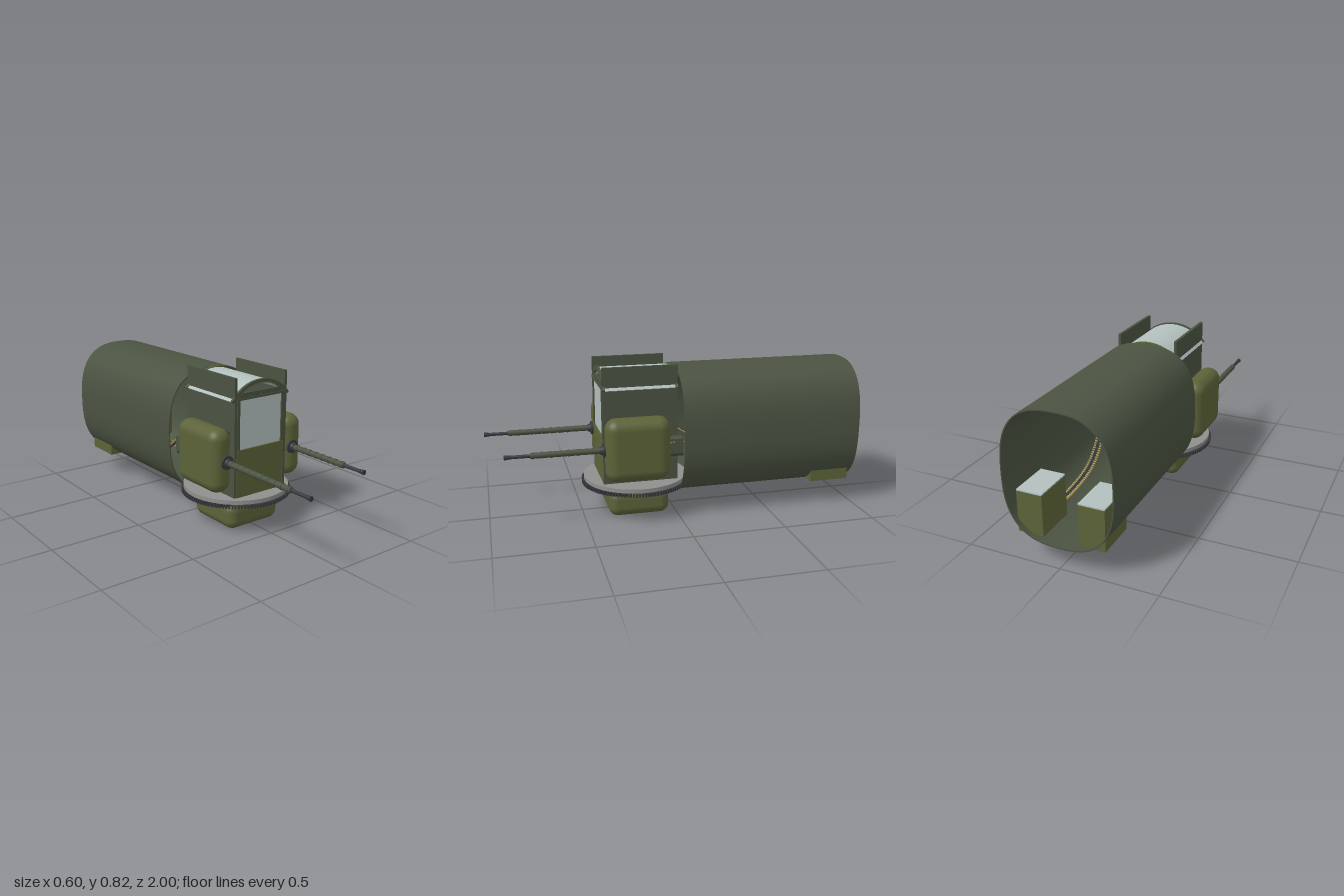
import * as THREE from 'three';
import { toCreasedNormals } from 'three/addons/utils/BufferGeometryUtils.js';
import { RoundedBoxGeometry } from 'three/addons/geometries/RoundedBoxGeometry.js';

const mat = (name, color) => {
  const m = new THREE.MeshStandardMaterial({ color });
  m.name = name;
  return m;
};

export function createModel() {
  const olive = mat('olive', 0x5c6238);
  const green = mat('dark green', 0x4b5342);
  const glass = mat('glass', 0xb2c0be);
  const grey = mat('platform grey', 0x8f8f8d);
  const dark = mat('gunmetal', 0x38393e);
  const brass = mat('brass', 0x9a8a4a);

  const model = new THREE.Group();
  const add = (name, geo, material, x = 0, y = 0, z = 0, parent = model) => {
    const m = new THREE.Mesh(geo, material);
    m.name = name;
    m.position.set(x, y, z);
    parent.add(m);
    return m;
  };
  // Box given by its extents on each axis
  const box = (name, material, x0, x1, y0, y1, z0, z1) =>
    add(name, new THREE.BoxGeometry(x1 - x0, y1 - y0, z1 - z0), material, (x0 + x1) / 2, (y0 + y1) / 2, (z0 + z1) / 2);
  const extrude = (shape, depth, segs = 24) =>
    toCreasedNormals(new THREE.ExtrudeGeometry(shape, { depth, bevelEnabled: false, curveSegments: segs }), 0.6);

  // Fuselage section: hollow superellipse tube
  const oval = (a, b) => {
    const pts = [];
    const f = (v) => Math.sign(v) * Math.pow(Math.abs(v), 2 / 2.65);
    for (let i = 0; i < 96; i++) {
      const t = (i / 96) * Math.PI * 2;
      pts.push(new THREE.Vector2(a * f(Math.cos(t)), b * f(Math.sin(t))));
    }
    return pts;
  };
  const skin = new THREE.Shape(oval(0.287, 0.343));
  skin.holes.push(new THREE.Path(oval(0.281, 0.337)));
  add('fuselageTube', extrude(skin, 0.99), green, 0, 0.452, -1);

  // Rotating platform with a ring of gear teeth
  add('platformDisc', new THREE.CylinderGeometry(0.283, 0.283, 0.022, 64), grey, 0, 0.186, 0.2);
  const teeth = 112;
  const toothGeo = new THREE.BoxGeometry(0.009, 0.02, 0.03);
  const gear = new THREE.Group();
  gear.name = 'gearRing';
  gear.position.set(0, 0.165, 0.2);
  model.add(gear);
  for (let i = 0; i < teeth; i++) {
    const a = (i / teeth) * Math.PI * 2;
    add('gearTooth', toothGeo, dark, Math.sin(a) * 0.28, 0, Math.cos(a) * 0.28, gear).rotation.y = a;
  }

  // Lower pod and its mounting plate
  box('mountingPlate', dark, -0.162, 0.162, 0.143, 0.155, 0.05, 0.36);
  box('mountingBlock', dark, -0.13, 0.13, 0.153, 0.177, 0.08, 0.33);
  add('lowerPod', new RoundedBoxGeometry(0.336, 0.147, 0.33, 6, 0.05), olive, 0, 0.0735, 0.205);

  // Cabin front: lower panel, window and frame
  box('frontPanel', olive, -0.152, 0.152, 0.197, 0.45, 0.385, 0.4);
  box('frontWindow', glass, -0.138, 0.138, 0.45, 0.709, 0.388, 0.394);
  box('windowHead', green, -0.152, 0.152, 0.709, 0.72, 0.383, 0.402);
  box('windowSill', olive, -0.152, 0.152, 0.446, 0.452, 0.383, 0.403);
  for (const s of [-1, 1]) {
    box('windowPost', green, s * 0.145 - 0.008, s * 0.145 + 0.008, 0.45, 0.72, 0.383, 0.402);
    box('rearPost', green, s * 0.145 - 0.01, s * 0.145 + 0.01, 0.197, 0.745, 0, 0.015);
    box('lintel', green, s * 0.077 - 0.074, s * 0.077 + 0.074, 0.72, 0.744, 0.386, 0.398);
  }
  box('rearLintel', green, -0.155, 0.155, 0.72, 0.744, 0, 0.012);

  // Curved glass roof running through the side plates, with end arches
  const arc = (r0, r1, depth) => {
    const h = 0.905, s = new THREE.Shape();
    s.absarc(0, 0, r1, Math.PI / 2 - h, Math.PI / 2 + h, false);
    s.absarc(0, 0, r0, Math.PI / 2 + h, Math.PI / 2 - h, true);
    s.closePath();
    return extrude(s, depth, 32);
  };
  add('roofGlass', arc(0.224, 0.23, 0.37), glass, 0, 0.565, 0.015);
  add('frontArch', arc(0.222, 0.236, 0.015), green, 0, 0.565, 0.385);
  add('frontArchTrim', arc(0.216, 0.222, 0.015), olive, 0, 0.565, 0.383);
  add('rearArch', arc(0.22, 0.234, 0.015), olive, 0, 0.565, 0);

  const rodZ = (r0, r1, len) => new THREE.CylinderGeometry(r1, r0, len, 20).rotateX(Math.PI / 2);

  for (const s of [-1, 1]) {
    const name = s > 0 ? 'left' : 'right';
    const sideBox = (n, m, x0, x1, ...rest) =>
      box(name + n, m, Math.min(s * x0, s * x1), Math.max(s * x0, s * x1), ...rest);

    // Side plate, standing proud of the roof
    sideBox('SidePlate', green, 0.155, 0.17, 0.2, 0.825, 0, 0.4);
    sideBox('PivotBlock', dark, 0.15, 0.174, 0.48, 0.545, 0.1, 0.36);

    // Gun pod and feed bracket
    add(name + 'GunPod', new RoundedBoxGeometry(0.128, 0.338, 0.342, 6, 0.06), olive, s * 0.234, 0.405, 0.23);
    sideBox('FeedBracket', green, 0.18, 0.24, 0.365, 0.445, -0.015, 0.08);
    sideBox('FeedPlate', dark, 0.185, 0.235, 0.35, 0.364, -0.015, 0.07);

    // Gun: collar, ringed jacket, muzzle
    const gun = new THREE.Group();
    gun.name = name + 'Gun';
    gun.position.set(s * 0.218, 0.405, 0);
    model.add(gun);
    const end = s < 0 ? 0.87 : 0.78;
    add('collar', rodZ(0.036, 0.036, 0.012), dark, 0, 0, 0.404, gun);
    add('collarBoss', rodZ(0.024, 0.02, 0.02), dark, 0, 0, 0.416, gun);
    add('barrelJacket', rodZ(0.016, 0.015, end - 0.4), green, 0, 0, (end + 0.4) / 2, gun);
    for (let z = 0.45; z < end; z += 0.045) add('jacketRing', rodZ(0.0175, 0.0175, 0.008), green, 0, 0, z, gun);
    add('barrel', rodZ(0.009, 0.009, 0.11), dark, 0, 0, end + 0.05, gun);
    add('muzzle', rodZ(0.009, 0.013, 0.035), dark, 0, 0, end + 0.1125, gun);

    // Ammunition box with a pale lid
    sideBox('AmmoBox', olive, 0.0935, 0.228, 0.135, 0.35, -0.975, -0.755);
    sideBox('AmmoBoxLid', glass, 0.0935, 0.228, 0.35, 0.357, -0.975, -0.755);

    // Ammunition belt from box to gun pod
    const path = new THREE.CatmullRomCurve3([
      [0.16, 0.17, -0.77], [0.16, 0.165, -0.6], [0.165, 0.21, -0.36], [0.2, 0.36, -0.12], [0.215, 0.43, 0], [0.22, 0.42, 0.08],
    ].map(([x, y, z]) => new THREE.Vector3(s * x, y, z)));
    const belt = new THREE.Group();
    belt.name = name + 'AmmoBelt';
    model.add(belt);
    const round = new THREE.CylinderGeometry(0.005, 0.005, 0.045, 8).rotateZ(Math.PI / 2);
    const link = new THREE.BoxGeometry(0.016, 0.012, 0.013);
    for (let i = 0; i <= 64; i++) {
      const p = path.getPointAt(i / 64);
      add('round', round, brass, p.x, p.y, p.z, belt);
      add('link', link, dark, p.x, p.y, p.z, belt);
    }
  }
  return model;
}
